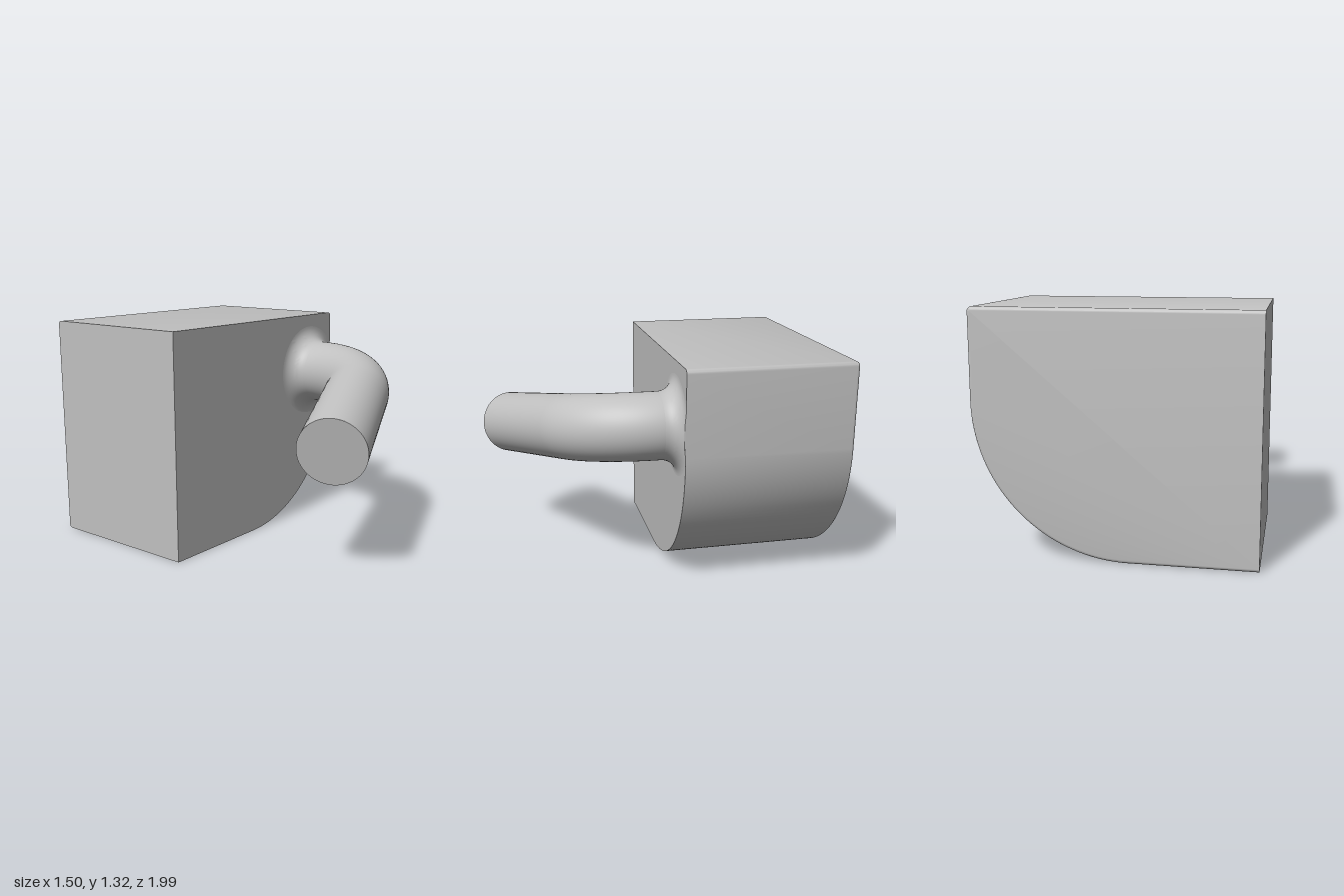
import * as THREE from 'three';
import { toCreasedNormals } from 'three/addons/utils/BufferGeometryUtils.js';

const LEFT = -0.755, RIGHT = 0.75, TOP = 1.315, FRONT = -0.04, BACK = -1;
const BEVEL = 0.02, ARC = 0.83;
const ROOT = new THREE.Vector3(0.51, 0.955, FRONT); // where the pipe leaves the block
const PIPE_R = 0.19, FILLET = 0.095;

// Block outline, counter-clockwise; every edge but the left one moves in by the inset
function outline(inset) {
  const pts = [[LEFT, inset]];
  const arc = (cx, cy, r, a0, a1, n) => {
    for (let i = 0; i <= n; i++) {
      const a = a0 + (a1 - a0) * i / n;
      pts.push([cx + r * Math.cos(a), cy + r * Math.sin(a)]);
    }
  };
  arc(RIGHT - ARC, ARC, ARC - inset, -Math.PI / 2, 0, 48);
  arc(RIGHT - 0.025, TOP - 0.025, 0.025 - inset, 0, Math.PI / 2, 6);
  pts.push([LEFT, TOP - inset]);
  return pts;
}

// Loft of the outline from front to back, with a rounded back edge
function blockGeometry() {
  const rings = [[FRONT, 0]];
  for (let i = 0; i <= 5; i++) {
    const a = (i / 5) * Math.PI / 2;
    rings.push([BACK + BEVEL * (1 - Math.sin(a)), BEVEL * (1 - Math.cos(a))]);
  }
  const pos = [], index = [], n = outline(0).length;
  for (const [z, inset] of rings) for (const [x, y] of outline(inset)) pos.push(x, y, z);
  for (let k = 0; k < rings.length - 1; k++) {
    for (let j = 0; j < n; j++) {
      const a = k * n + j, b = k * n + (j + 1) % n;
      index.push(a, a + n, b, b, a + n, b + n);
    }
  }
  const last = (rings.length - 1) * n;
  for (let j = 1; j < n - 1; j++) {
    index.push(0, j, j + 1, last, last + j + 1, last + j);
  }
  const g = new THREE.BufferGeometry();
  g.setAttribute('position', new THREE.Float32BufferAttribute(pos, 3));
  g.setIndex(index);
  return toCreasedNormals(g, 0.6);
}

// Pipe centre line: short straight, circular bend, long straight
class PipePath extends THREE.Curve {
  constructor() {
    super();
    this.side = new THREE.Vector3(-0.977, -0.214, 0);
    this.start = 0.095;
    this.radius = 0.5;
    this.angle = 1.173;
    this.tail = 0.784;
  }
  getPoint(t, target = new THREE.Vector3()) {
    const { start, radius: r, angle, tail } = this;
    const s = t * (start + r * angle + tail);
    const a = THREE.MathUtils.clamp((s - start) / r, 0, angle);
    const rest = Math.max(0, s - start - r * angle);
    const u = r * (1 - Math.cos(a)) + rest * Math.sin(angle);
    const z = Math.min(s, start) + r * Math.sin(a) + rest * Math.cos(angle);
    target.copy(ROOT).addScaledVector(this.side, u);
    target.z += z;
    return target;
  }
}

// Concave flare at the pipe root, cut flush with the block's side
function filletGeometry() {
  const profile = [];
  for (let i = 0; i <= 12; i++) {
    const a = (i / 12) * Math.PI / 2;
    profile.push(new THREE.Vector2(
      PIPE_R + FILLET * (1 - Math.sin(a)), FILLET * (1 - Math.cos(a))));
  }
  const g = new THREE.LatheGeometry(profile, 96);
  g.rotateX(Math.PI / 2);
  g.translate(ROOT.x, ROOT.y, ROOT.z);
  const p = g.attributes.position;
  for (let i = 0; i < p.count; i++) p.setX(i, Math.min(p.getX(i), RIGHT));
  return toCreasedNormals(g, 0.6);
}

export function createModel() {
  const model = new THREE.Group();
  model.name = 'blockWithBentPipe';
  const grey = new THREE.MeshStandardMaterial({ color: 0xc0c0c0 });
  grey.name = 'grey';

  const add = (name, geometry) => {
    const mesh = new THREE.Mesh(geometry, grey);
    mesh.name = name;
    model.add(mesh);
    return mesh;
  };

  add('block', blockGeometry());
  add('rootFillet', filletGeometry());

  const path = new PipePath();
  add('bentPipe', new THREE.TubeGeometry(path, 80, PIPE_R, 64, false));

  // Flat end of the pipe
  const cap = add('pipeEnd', new THREE.CircleGeometry(PIPE_R, 64));
  const end = path.getPoint(1);
  cap.position.copy(end);
  cap.lookAt(end.clone().add(path.getTangent(1)));

  return model;
}
